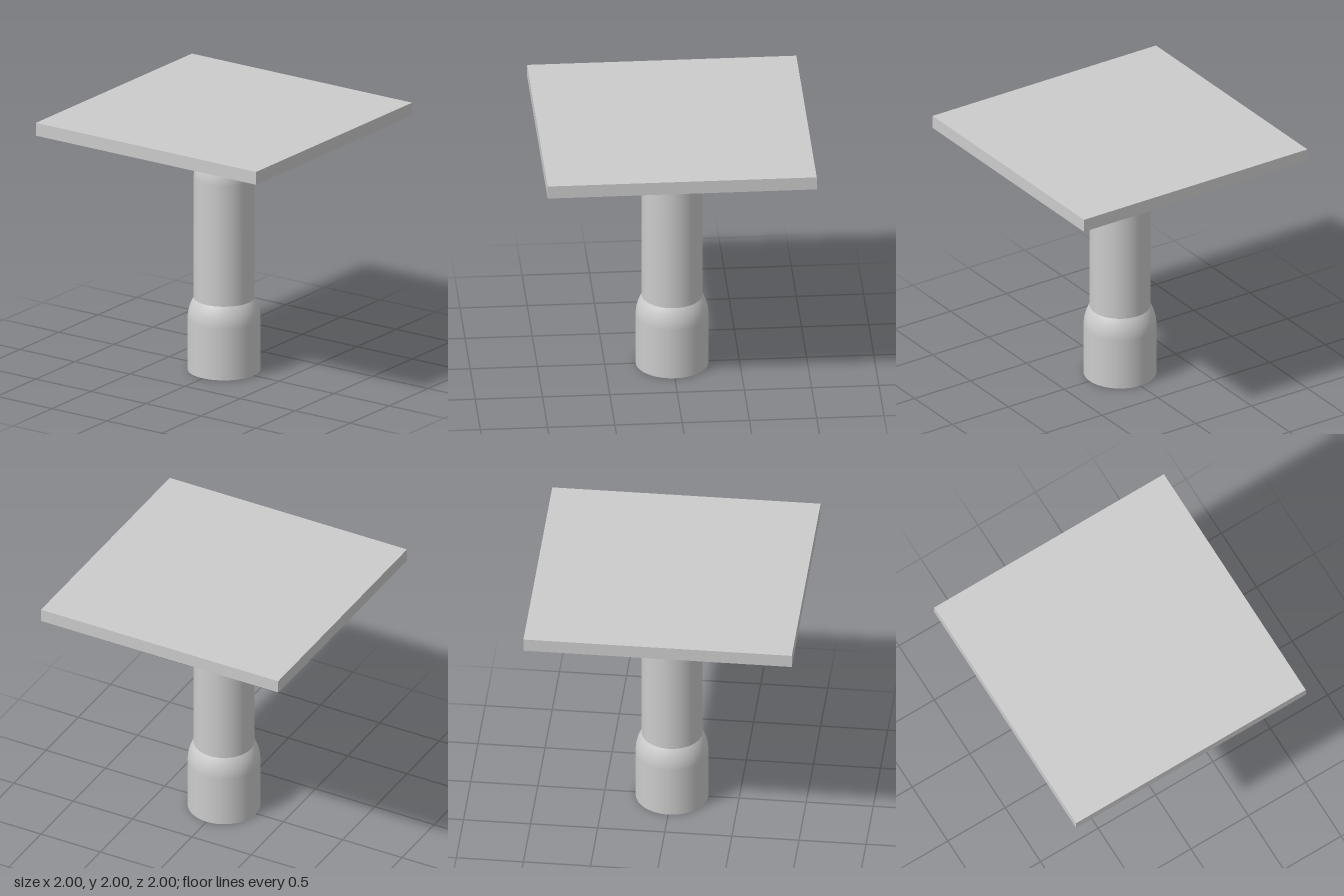
import * as THREE from 'three';

const material = new THREE.MeshStandardMaterial({ color: 0xcccccc });
const SIDES = 64;

// One column section: straight wall, then a rounded shoulder drawing in to the next radius.
function columnSection(name, r, y0, yShoulder, rTop, yTop) {
  const points = [new THREE.Vector2(r, y0), new THREE.Vector2(r, yShoulder)];
  const rise = yTop - yShoulder, inset = r - rTop;
  if (inset > 0) {
    // circular arc, tangent to the wall, ending at (rTop, yTop)
    const angle = 2 * Math.atan2(inset, rise);
    const radius = rise / Math.sin(angle);
    const steps = 10;
    for (let i = 1; i <= steps; i++) {
      const a = angle * i / steps;
      points.push(new THREE.Vector2(r - radius * (1 - Math.cos(a)), yShoulder + radius * Math.sin(a)));
    }
  }
  const mesh = new THREE.Mesh(new THREE.LatheGeometry(points, SIDES), material);
  mesh.name = name;
  return mesh;
}

export function createModel() {
  const group = new THREE.Group();
  group.name = 'pedestalTable';

  // Square top slab
  const top = new THREE.Mesh(new THREE.BoxGeometry(2, 0.1, 2), material);
  top.name = 'topSlab';
  top.position.y = 1.95;
  group.add(top);

  // Stepped round column; separate sections keep the edges between them sharp
  const column = new THREE.Group();
  column.name = 'column';
  column.add(
    columnSection('columnBase', 0.27, 0, 0.4, 0.225, 0.56),
    columnSection('columnShaft', 0.225, 0.56, 1.5, 0.18, 1.66),
    columnSection('columnNeck', 0.18, 1.66, 1.9, 0.18, 1.9)
  );

  // Flat underside of the column
  const foot = new THREE.Mesh(new THREE.CircleGeometry(0.27, SIDES), material);
  foot.name = 'columnUnderside';
  foot.rotation.x = Math.PI / 2;
  column.add(foot);

  group.add(column);
  return group;
}
